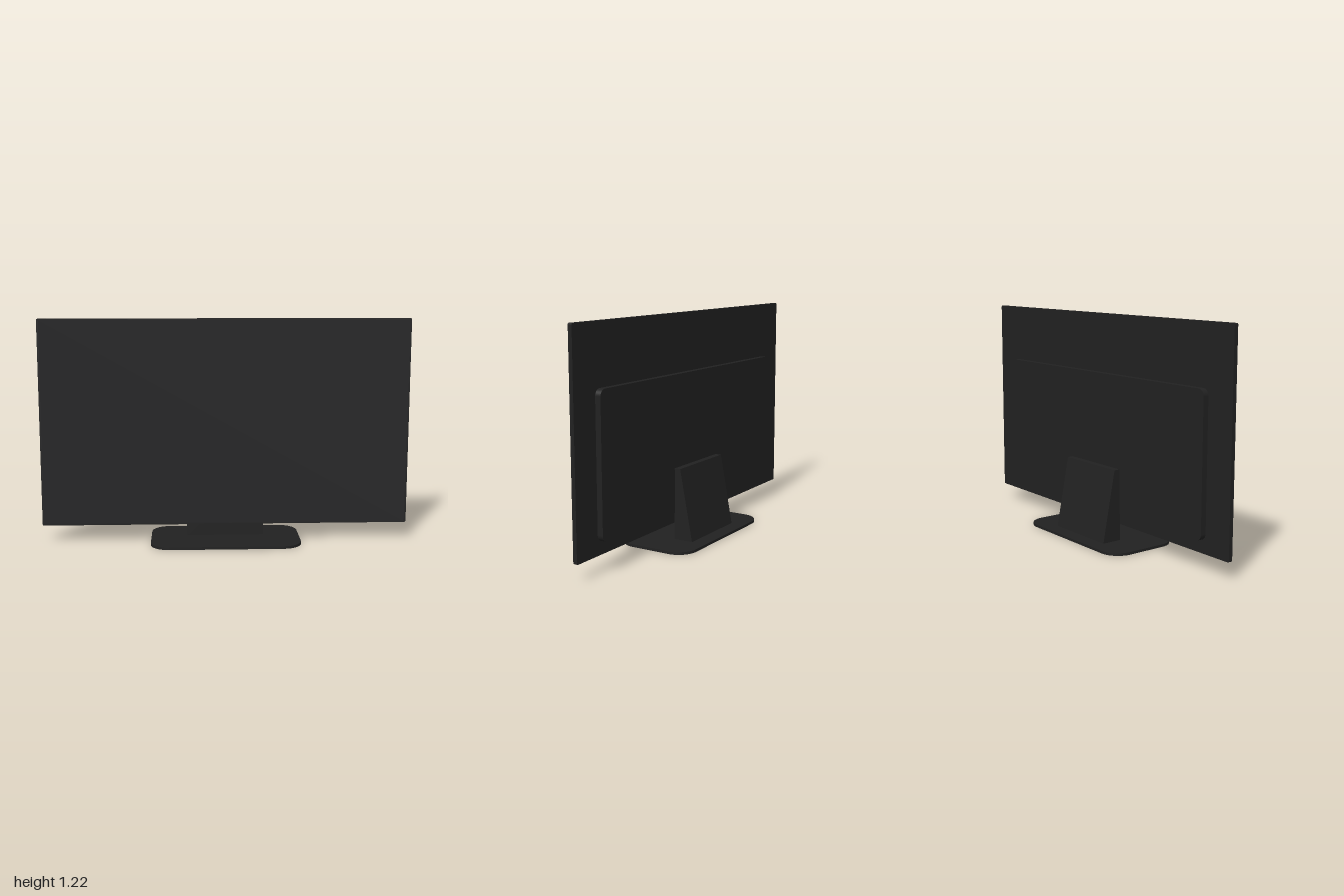
import * as THREE from 'three';

// Rounded rectangle outline from its edges
function roundedRect(x0, y0, x1, y1, r) {
  const s = new THREE.Shape();
  s.moveTo(x0 + r, y0);
  s.lineTo(x1 - r, y0);
  s.absarc(x1 - r, y0 + r, r, -Math.PI / 2, 0, false);
  s.lineTo(x1, y1 - r);
  s.absarc(x1 - r, y1 - r, r, 0, Math.PI / 2, false);
  s.lineTo(x0 + r, y1);
  s.absarc(x0 + r, y1 - r, r, Math.PI / 2, Math.PI, false);
  s.lineTo(x0, y0 + r);
  s.absarc(x0 + r, y0 + r, r, Math.PI, Math.PI * 1.5, false);
  return s;
}

// Extrude a shape along z from the origin plane
function slab(shape, depth) {
  return new THREE.ExtrudeGeometry(shape, { depth, bevelEnabled: false, curveSegments: 16 });
}

export function createModel() {
  const group = new THREE.Group();
  const casing = new THREE.MeshStandardMaterial({ color: 0x212121 });
  casing.name = 'casing black';
  const glass = new THREE.MeshStandardMaterial({ color: 0x222223 });
  glass.name = 'screen black';

  const add = (name, geometry, material) => {
    const mesh = new THREE.Mesh(geometry, material);
    mesh.name = name;
    group.add(mesh);
  };

  // Thin display panel
  add('displayPanel', slab(roundedRect(-1, 0.09, 1, 1.215, 0.008), 0.022).translate(0, 0, 0.005), casing);

  // Screen glass on the panel front
  add('screen', slab(roundedRect(-0.994, 0.096, 0.994, 1.209, 0.006), 0.002).translate(0, 0, 0.027), glass);

  // Raised electronics housing on the back
  add('backHousing', slab(roundedRect(-0.84, 0.158, 0.84, 0.9, 0.035), 0.031).translate(0, 0, -0.026), casing);

  // Wedge-shaped stand, profile drawn in (-z, y) and extruded across x
  const wedge = new THREE.Shape([
    new THREE.Vector2(0.022, 0.01),
    new THREE.Vector2(0.134, 0.01),
    new THREE.Vector2(0.06, 0.402),
    new THREE.Vector2(0.022, 0.402),
  ]);
  add('standNeck', slab(wedge, 0.424).rotateY(Math.PI / 2).translate(-0.212, 0, 0), casing);

  // Flat foot with rounded corners
  add('standBase', slab(roundedRect(-0.408, -0.215, 0.408, 0.215, 0.105), 0.014).rotateX(-Math.PI / 2), casing);

  return group;
}
